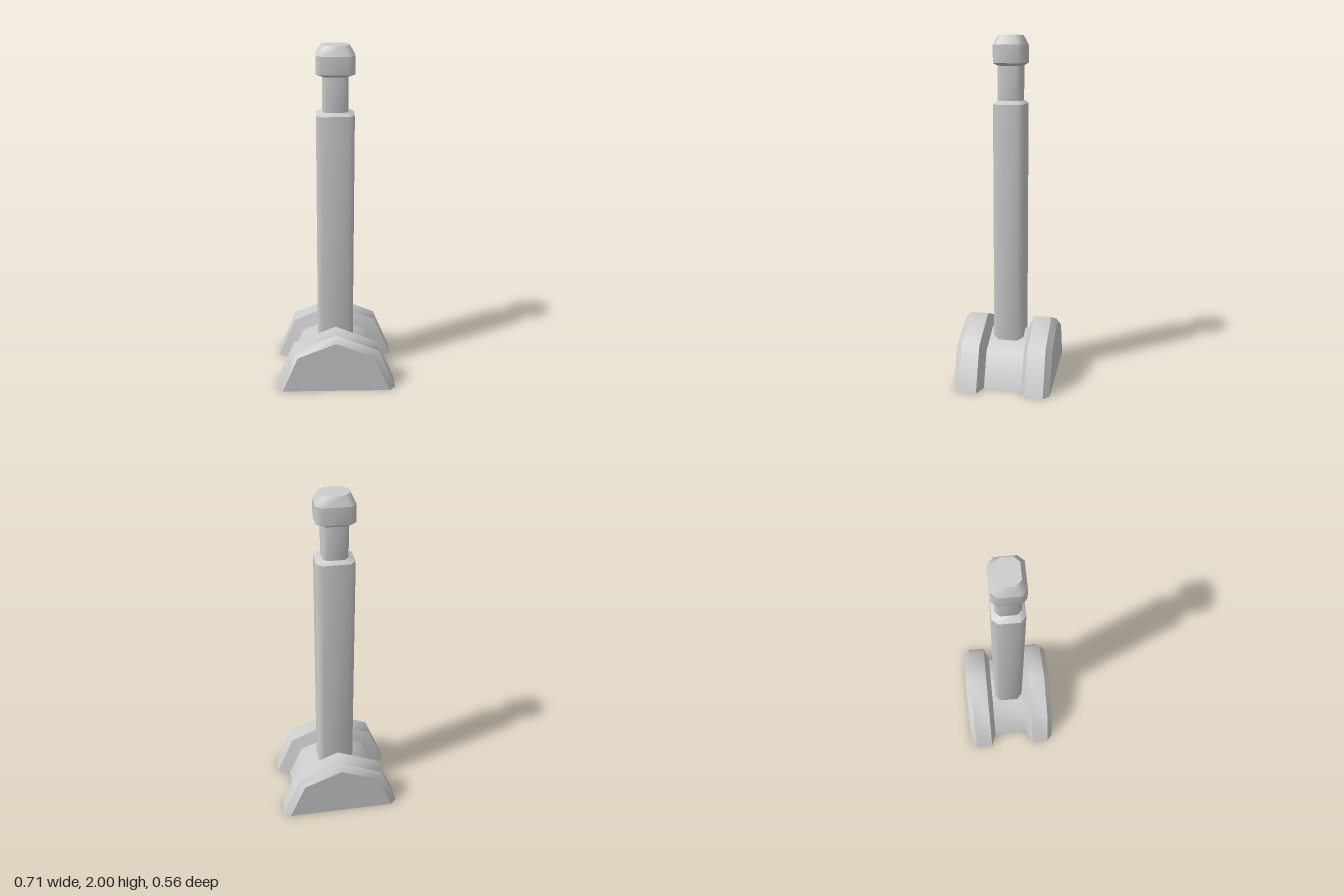
import * as THREE from 'three';
import { mergeGeometries } from 'three/addons/utils/BufferGeometryUtils.js';

// Indexed geometry from points and faces, with normals smooth inside it
function patch(points, index) {
  const g = new THREE.BufferGeometry();
  g.setAttribute('position', new THREE.Float32BufferAttribute(points.flat(), 3));
  g.setIndex(index);
  g.computeVertexNormals();
  return g;
}

// Skin over rings: each band is smooth around and sharp at its rims; both ends capped
function loft(rings, closed) {
  const n = rings[0].length, parts = [];
  for (let i = 0; i < rings.length - 1; i++) {
    const index = [];
    for (let j = 0; j < (closed ? n : n - 1); j++) {
      const k = (j + 1) % n;
      index.push(j, k, n + k, j, n + k, n + j);
    }
    parts.push(patch([...rings[i], ...rings[i + 1]], index));
  }
  const first = [], last = [];
  for (let j = 1; j < n - 1; j++) {
    first.push(0, j + 1, j);
    last.push(0, j, j + 1);
  }
  parts.push(patch(rings[0], first), patch(rings.at(-1), last));
  return mergeGeometries(parts);
}

// Rectangle with cut corners at height y
function shaftRing([y, hx, hz, cut]) {
  const x = hx - cut, z = hz - cut;
  return [[hx, z], [hx, -z], [x, -hz], [-x, -hz], [-hx, -z], [-hx, z], [-x, hz], [x, hz]]
    .map(([px, pz]) => [px, y, pz]);
}

// Upper half of an octagon at depth z
function saddleRing([z, r]) {
  return [0, 1, 2, 3, 4].map(i => {
    const a = i * Math.PI / 4;
    return [r * Math.cos(a), r * Math.sin(a), z];
  });
}

export function createModel() {
  const group = new THREE.Group();
  const add = (name, geometry, side = THREE.FrontSide) => {
    const mesh = new THREE.Mesh(geometry, new THREE.MeshStandardMaterial({ color: 0xcccccc, side }));
    mesh.name = name;
    group.add(mesh);
  };

  // Hollow half-round base with two flanges, open underneath
  const half = [[0.11, 0.28], [0.14, 0.357], [0.245, 0.357], [0.279, 0.32]];
  const profile = [...half.map(([z, r]) => [-z, r]).reverse(), ...half];
  add('saddleBase', loft(profile.map(saddleRing), false), THREE.DoubleSide);

  // Post with chamfered foot, narrow neck and bevelled head: y, half width, half depth, corner cut
  const post = [
    [0.19, 0.078, 0.064, 0.03],
    [0.22, 0.107, 0.089, 0.032],
    [1.622, 0.107, 0.089, 0.032],
    [1.64, 0.071, 0.068, 0.025],
    [1.833, 0.071, 0.068, 0.025],
    [1.848, 0.107, 0.089, 0.032],
    [1.947, 0.107, 0.089, 0.032],
    [2, 0.077, 0.064, 0.031],
  ];
  add('post', loft(post.map(shaftRing), true));

  return group;
}
